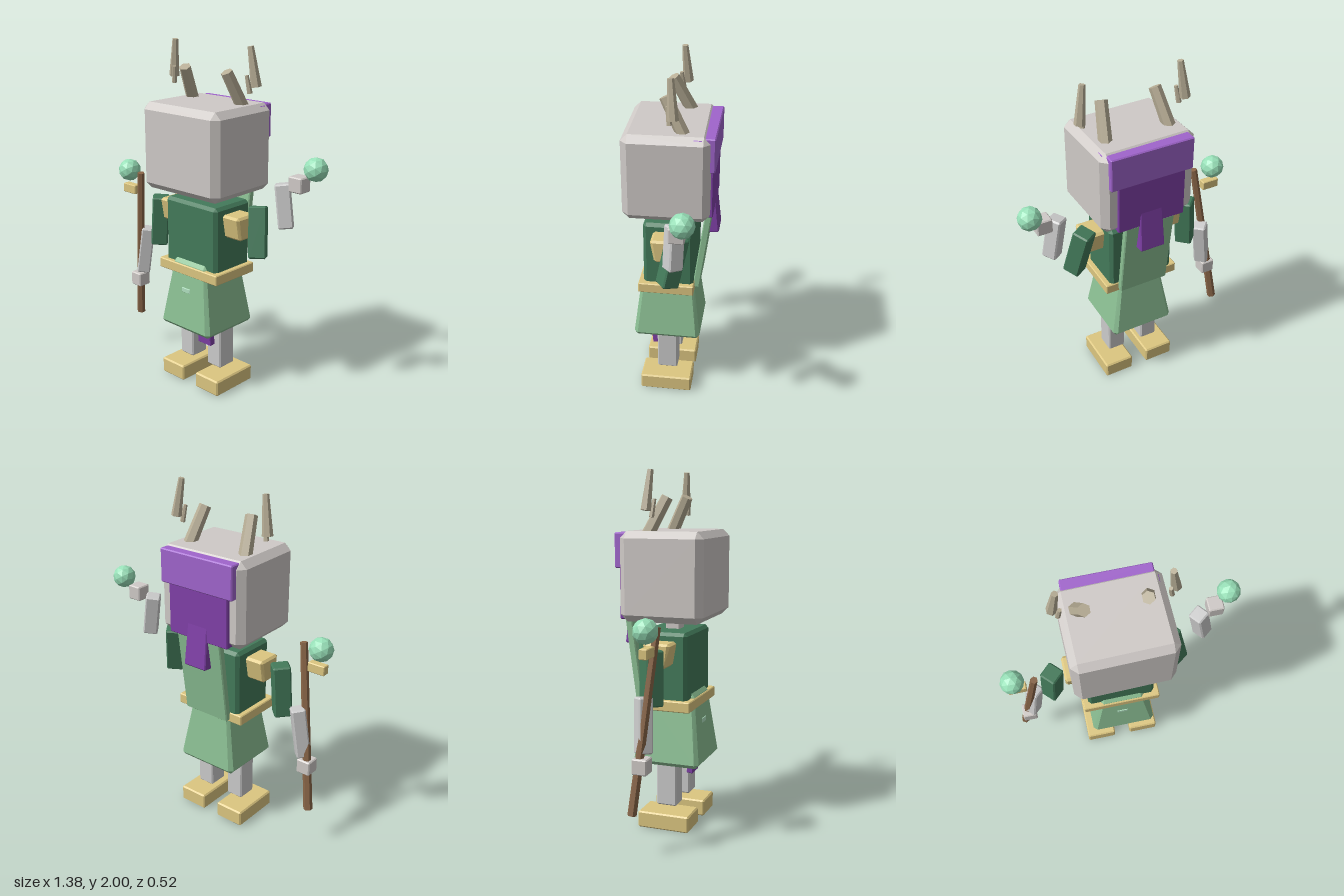
import * as THREE from 'three';
import { ConvexGeometry } from 'three/addons/geometries/ConvexGeometry.js';

const V = (a) => new THREE.Vector3(...a);
const mat = (color) => new THREE.MeshStandardMaterial({ color, flatShading: true, roughness: 0.9 });

// Box with chamfered edges; taper scales the top (x, z) relative to the bottom
function chamferBox(w, h, d, b = 0.006, taper = [1, 1]) {
  const pts = [];
  for (const sx of [-1, 1]) for (const sy of [-1, 1]) for (const sz of [-1, 1]) {
    for (const inset of [[0, b, b], [b, 0, b], [b, b, 0]]) {
      const y = sy * (h / 2 - inset[1]);
      const t = y / h + 0.5;
      pts.push(new THREE.Vector3(
        sx * (w / 2 - inset[0]) * (1 + (taper[0] - 1) * t), y,
        sz * (d / 2 - inset[2]) * (1 + (taper[1] - 1) * t)));
    }
  }
  return new ConvexGeometry(pts);
}

export function createModel() {
  const model = new THREE.Group();
  const skin = mat(0xcfcac7), limbGrey = mat(0xcccccc), gold = mat(0xdcc680);
  const cloth = mat(0x437a5a), light = mat(0x8cc094), pale = mat(0xb0e0c0);
  const purple = mat(0xa064cc), darkPurple = mat(0x8040a8);
  const bone = mat(0xb8ae96), wood = mat(0x8a6648), glow = mat(0x98e0b8);

  const add = (name, geo, material, pos, parent = model) => {
    const m = new THREE.Mesh(geo, material);
    m.name = name;
    m.position.set(...pos);
    parent.add(m);
    return m;
  };
  // Chamfered box given by its extents on each axis
  const block = (name, material, [x0, x1], [y0, y1], [z0, z1], bevel, taper) =>
    add(name, chamferBox(x1 - x0, y1 - y0, z1 - z0, bevel, taper), material,
      [(x0 + x1) / 2, (y0 + y1) / 2, (z0 + z1) / 2]);
  // Aim a geometry's y axis from a to b, turned about its own axis
  const aim = (m, a, b, roll = 0) => {
    m.quaternion.setFromUnitVectors(new THREE.Vector3(0, 1, 0), V(b).sub(V(a)).normalize());
    m.rotateY(roll);
    return m;
  };
  const mid = (a, b) => a.map((v, i) => (v + b[i]) / 2);
  const limb = (name, material, a, b, w, roll = Math.PI / 4) =>
    aim(add(name, chamferBox(w, V(a).distanceTo(V(b)), w, 0.008), material, mid(a, b)), a, b, roll);
  const rod = (name, material, a, b, r0, r1, sides = 6) =>
    aim(add(name, new THREE.CylinderGeometry(r1, r0, V(a).distanceTo(V(b)), sides), material, mid(a, b)), a, b);

  // Head
  const head = block('head', skin, [-0.31, 0.255], [1.19, 1.68], [-0.21, 0.265], 0.038);
  head.rotation.y = 0.02;
  block('neck', skin, [-0.07, 0.012], [1.09, 1.21], [-0.02, 0.06], 0.004);

  // Hair
  block('hairCap', purple, [-0.285, 0.23], [1.48, 1.667], [-0.17, 0.105], 0.003);
  block('hairBand', purple, [-0.275, 0.215], [1.48, 1.672], [-0.24, -0.15], 0.006);
  block('hairBack', darkPurple, [-0.235, 0.168], [1.195, 1.5], [-0.228, -0.16], 0.005);
  const tail = add('ponytail', chamferBox(0.15, 0.4, 0.075, 0.006, [0.85, 0.75]), darkPurple, [-0.03, 1.235, -0.2]);
  tail.rotation.x = 0.09;

  // Horns, each with a detached antler tip and a small prong
  rod('rightHorn', bone, [-0.225, 1.65, -0.07], [-0.187, 1.86, 0.035], 0.038, 0.034);
  rod('leftHorn', bone, [0.158, 1.65, -0.07], [0.127, 1.86, 0.035], 0.038, 0.034);
  for (const [side, s] of [['right', -1], ['left', 1]]) {
    const p = (x, y, z) => [-0.028 + s * x, y, z];
    rod(side + 'AntlerTip', bone, p(0.31, 1.79, -0.028), p(0.281, 2.0, -0.012), 0.03, 0.017);
    rod(side + 'AntlerProng', bone, p(0.286, 1.755, -0.006), p(0.272, 1.85, 0.006), 0.015, 0.011);
  }

  // Torso and clothing
  block('torso', cloth, [-0.23, 0.167], [0.73, 1.13], [-0.125, 0.16], 0.018);
  block('belt', gold, [-0.26, 0.197], [0.695, 0.755], [-0.13, 0.188], 0.005);
  block('skirt', light, [-0.225, 0.17], [0.365, 0.78], [-0.168, 0.227], 0.022, [0.63, 0.74]);
  block('skirtPatch', pale, [-0.065, 0], [0.595, 0.622], [0.15, 0.2], 0.002);
  const cape = add('cape', chamferBox(0.3, 0.5, 0.04, 0.006), light, [-0.03, 0.955, -0.17]);
  cape.rotation.x = -0.135;
  const sash = block('sash', darkPurple, [-0.01, 0.092], [0.267, 0.5], [0.095, 0.133], 0.004);
  sash.rotation.x = 0.1;

  // Shoulder pads, narrower below
  block('rightShoulder', gold, [-0.34, -0.2], [0.95, 1.085], [-0.03, 0.08], 0.012, [1, 1.45]);
  block('leftShoulder', gold, [0.14, 0.278], [0.95, 1.085], [-0.03, 0.08], 0.012, [1, 1.45]);

  // Arms, hands floating free of the sleeves
  limb('rightUpperArm', cloth, [-0.424, 0.765, 0.035], [-0.406, 1.065, 0.03], 0.1);
  limb('leftUpperArm', cloth, [0.338, 0.85, 0.0], [0.288, 1.13, -0.055], 0.1, 0.6);
  limb('rightForearm', limbGrey, [-0.567, 0.545, 0.045], [-0.527, 0.838, 0.03], 0.08);
  limb('leftForearm', limbGrey, [0.489, 1.05, -0.053], [0.449, 1.29, -0.06], 0.084, 0.65);
  block('rightHand', skin, [-0.637, -0.553], [0.447, 0.532], [0.005, 0.09], 0.006);
  block('leftHand', skin, [0.5, 0.587], [1.257, 1.342], [-0.127, -0.042], 0.006);

  // Staff with its orb and collar, and a second orb in the raised hand
  rod('staff', wood, [-0.642, 0.23, 0.01], [-0.505, 1.205, 0.1], 0.026, 0.021);
  block('staffCollar', gold, [-0.662, -0.557], [1.06, 1.115], [0.062, 0.108], 0.004);
  add('staffOrb', new THREE.IcosahedronGeometry(0.068, 1), glow, [-0.625, 1.2, 0.085]);
  add('handOrb', new THREE.IcosahedronGeometry(0.066, 1), glow, [0.622, 1.385, -0.12]);

  // Legs and feet
  for (const [side, s] of [['right', -1], ['left', 1]]) {
    const c = -0.028 + s * 0.112, f = -0.028 + s * 0.14;
    block(side + 'Leg', limbGrey, [c - 0.053, c + 0.053], [0.125, 0.5], [-0.032, 0.088], 0.008);
    block(side + 'Foot', gold, [f - 0.09, f + 0.09], [0, 0.095], [-0.122, 0.182], 0.008);
  }
  return model;
}
